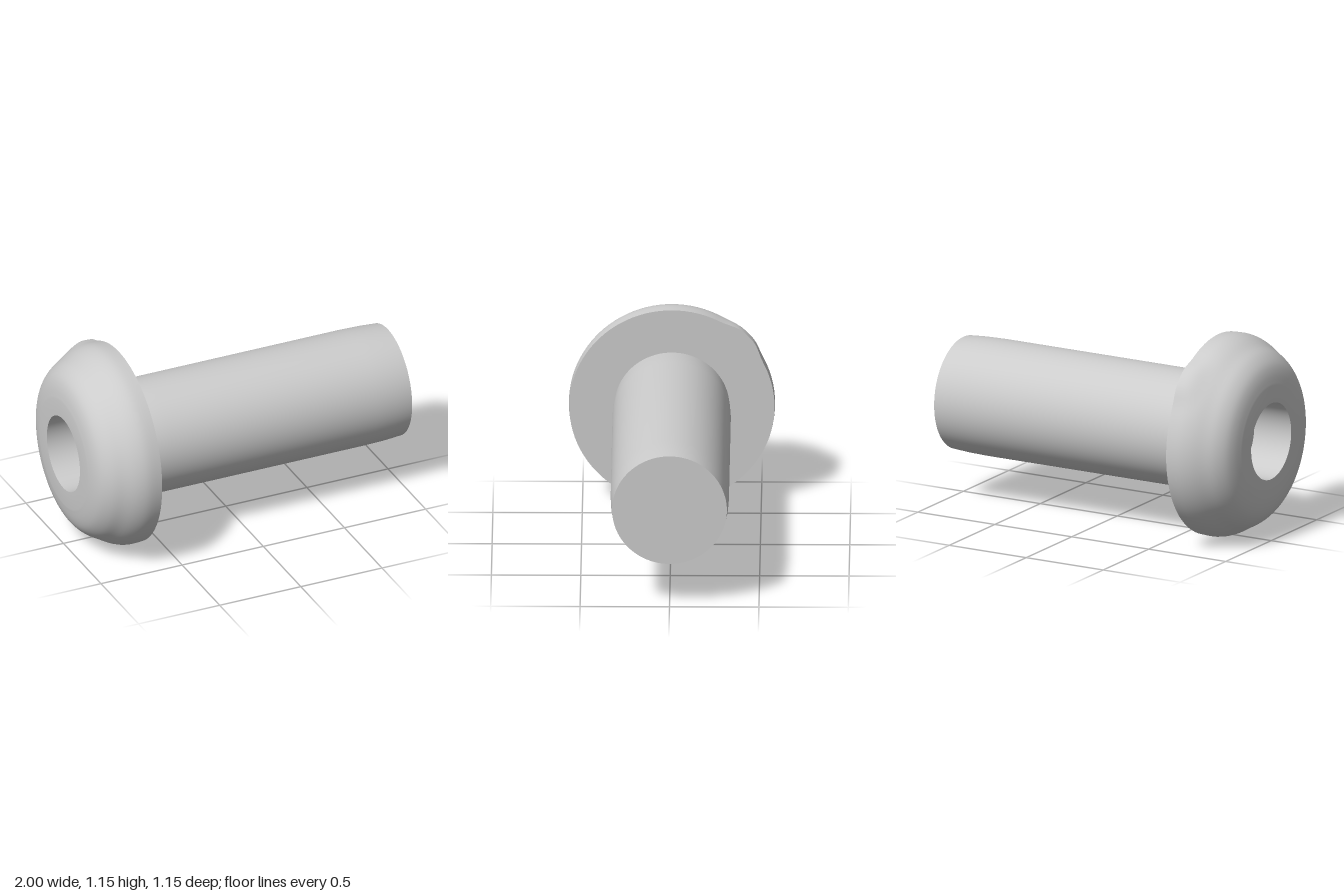
import * as THREE from 'three';
import { toCreasedNormals } from 'three/addons/utils/BufferGeometryUtils.js';

const AXIS_HEIGHT = 0.578;
const v = (r, x) => new THREE.Vector2(r, x);

// Turn a (radius, x) profile around the x axis
function turned(profile) {
  return new THREE.LatheGeometry(profile, 96).rotateZ(-Math.PI / 2);
}

// Slight bulge on the upper back of the head's rim, fading towards the crown
function bulgeRim(geometry) {
  const p = geometry.attributes.position;
  for (let i = 0; i < p.count; i++) {
    const x = p.getX(i), y = p.getY(i), z = p.getZ(i);
    const r = Math.hypot(y, z);
    if (r < 0.5) continue;
    const off = Math.abs(Math.atan2(y, -z) - 0.78);
    const around = 1 - THREE.MathUtils.smoothstep(off, 0.06, 0.3);
    const along = THREE.MathUtils.smoothstep(x, -0.82, -0.68);
    const k = 1 + 0.025 * around * along / r;
    p.setXYZ(i, x, y * k, z * k);
  }
  return geometry;
}

export function createModel() {
  const group = new THREE.Group();
  const material = new THREE.MeshStandardMaterial({ color: 0xcccccc });

  const add = (name, geometry) => {
    const mesh = new THREE.Mesh(toCreasedNormals(geometry, 0.6), material);
    mesh.name = name;
    mesh.position.y = AXIS_HEIGHT;
    group.add(mesh);
  };

  // Domed head with a round blind socket and a flat underside
  const dome = new THREE.SplineCurve([
    v(0.32, -1), v(0.385, -0.988), v(0.44, -0.965), v(0.487, -0.922),
    v(0.522, -0.865), v(0.558, -0.8), v(0.576, -0.735), v(0.574, -0.657),
  ]).getPoints(28);
  add('head', bulgeRim(turned([
    v(0, -0.76), v(0.22, -0.76), v(0.22, -1), ...dome, v(0.3, -0.657),
  ])));

  // Shank, drawn in a little at both ends, with a flat tip
  add('shank', turned([
    v(0.322, -0.66), v(0.327, -0.58), v(0.331, -0.48), v(0.331, 0.78),
    v(0.328, 0.9), v(0.321, 1), v(0, 1),
  ]));

  return group;
}
